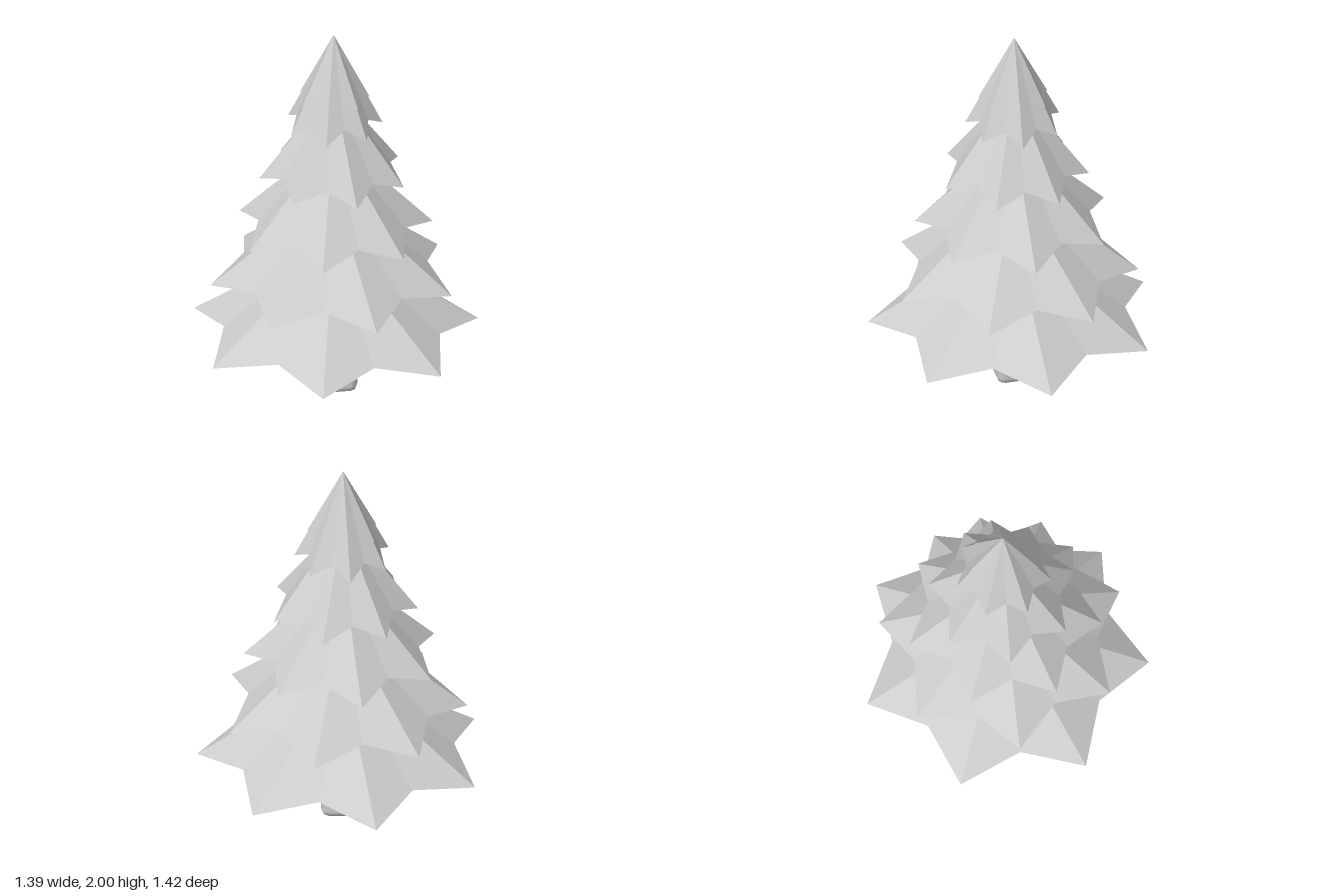
import * as THREE from 'three';
import { RoundedBoxGeometry } from 'three/addons/geometries/RoundedBoxGeometry.js';

const POINTS = 7;

// Star-shaped cone: drooping tips, raised notches, and a shallow hollow underside.
function starCone(radius, height, lift, hollow, turn) {
  const rim = i => {
    const a = turn + (i * Math.PI) / POINTS;
    const notch = i % 2 === 1;
    const r = notch ? radius * 0.76 : radius;
    return [r * Math.cos(a), notch ? lift : 0, r * Math.sin(a)];
  };
  const apex = [0, height, 0];
  const under = [0, hollow, 0];
  const pos = [];
  for (let i = 0; i < POINTS * 2; i++) {
    const a = rim(i), b = rim(i + 1);
    pos.push(...apex, ...b, ...a);
    pos.push(...under, ...a, ...b);
  }
  const geo = new THREE.BufferGeometry();
  geo.setAttribute('position', new THREE.Float32BufferAttribute(pos, 3));
  geo.computeVertexNormals();
  return geo;
}

export function createModel() {
  const model = new THREE.Group();
  model.name = 'pineTree';
  const grey = new THREE.MeshStandardMaterial({ color: 0xcccccc });
  grey.name = 'lightGrey';

  // Everything stands on one axis, slightly off centre
  const tree = new THREE.Group();
  tree.name = 'tree';
  tree.position.x = -0.035;
  model.add(tree);

  // Square trunk with softened edges
  const trunk = new THREE.Mesh(new RoundedBoxGeometry(0.22, 0.5, 0.22, 1, 0.04), grey);
  trunk.name = 'trunk';
  trunk.position.y = 0.25;
  tree.add(trunk);

  // Five branch tiers, each turned against the one below
  const step = THREE.MathUtils.degToRad(26.8);
  [0.73, 0.622, 0.498, 0.375, 0.245].forEach((radius, i) => {
    const tier = new THREE.Mesh(starCone(radius, 0.51, 0.06, 0.11, i * step), grey);
    tier.name = `branchTier${i + 1}`;
    tier.position.y = 0.32 + i * 0.2925;
    tree.add(tier);
  });

  // Small cap of branches around the peak
  const cap = new THREE.Mesh(starCone(0.18, 0.36, 0.042, 0.08, 4 * step), grey);
  cap.name = 'topBranches';
  cap.position.y = 1.64;
  tree.add(cap);

  return model;
}
